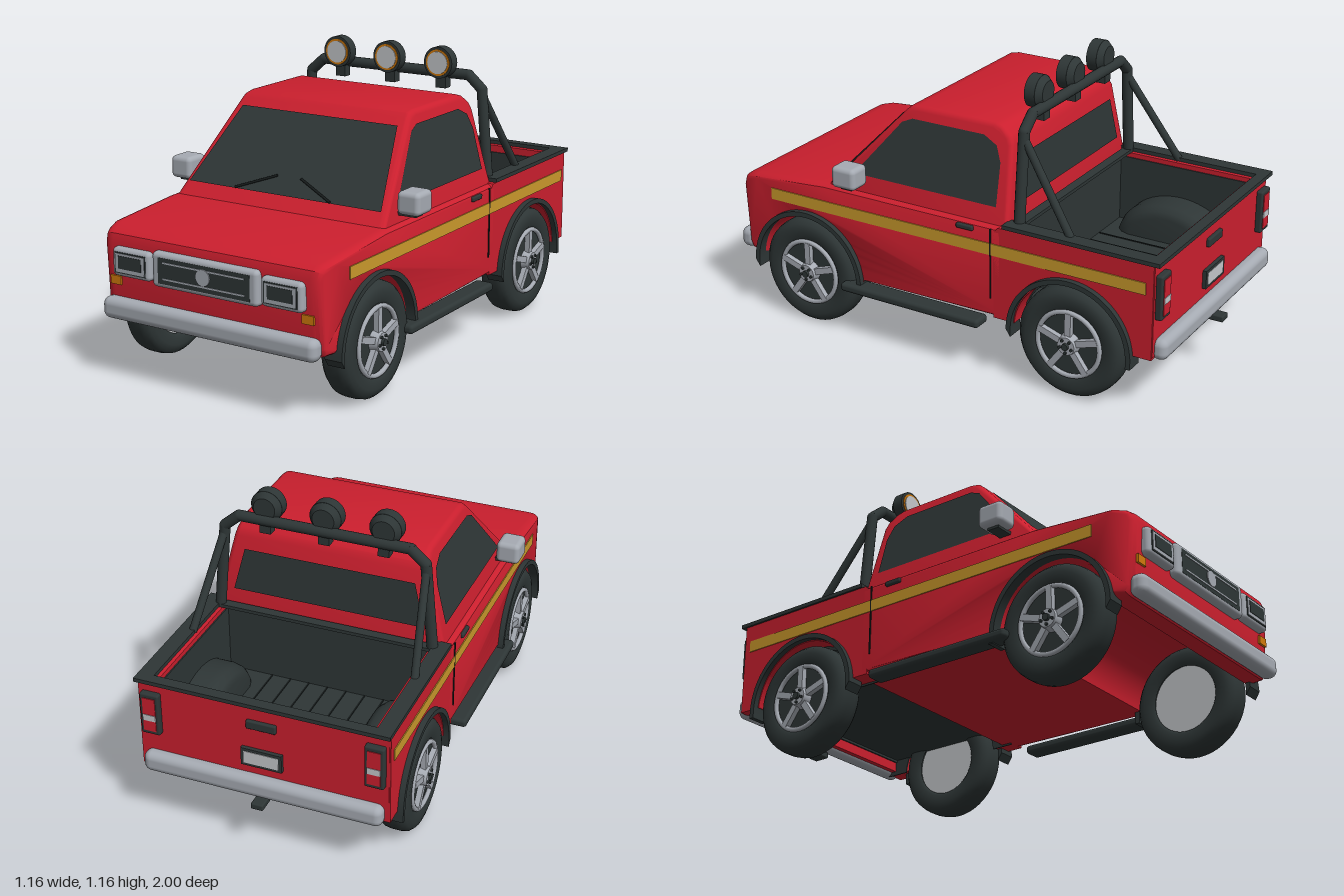
import * as THREE from 'three';
import { toCreasedNormals } from 'three/addons/utils/BufferGeometryUtils.js';
import { RoundedBoxGeometry } from 'three/addons/geometries/RoundedBoxGeometry.js';

const V = (x, y, z) => new THREE.Vector3(x, y, z);
const colour = (name, hex, side = THREE.FrontSide) => {
  const m = new THREE.MeshStandardMaterial({ color: hex, side });
  m.name = name;
  return m;
};

export function createModel() {
  const red = colour('red paint', 0xcc1f2e);
  const dark = colour('dark trim', 0x2e3636, THREE.DoubleSide);
  const black = colour('black line', 0x171c1c);
  const silver = colour('silver', 0xa6abb3);
  const lens = colour('lamp lens', 0xc6c9cc);
  const yellow = colour('yellow stripe', 0xcb9a2c);
  const orange = colour('orange', 0xd27a0c);

  const truck = new THREE.Group();
  truck.name = 'pickupTruck';
  const add = (name, geo, mat, parent = truck) => {
    const m = new THREE.Mesh(geo, mat);
    m.name = name;
    parent.add(m);
    return m;
  };
  const box = (name, mat, x, y, z, w, h, d, r = 0) => {
    const g = r ? new RoundedBoxGeometry(w, h, d, 3, r) : new THREE.BoxGeometry(w, h, d);
    return add(name, g.translate(x, y, z), mat);
  };
  // Straight round bar between two points
  const bar = (name, mat, a, b, r) => {
    const m = add(name, new THREE.CylinderGeometry(r, r, a.distanceTo(b), 14), mat);
    m.position.copy(a).lerp(b, 0.5);
    m.quaternion.setFromUnitVectors(V(0, 1, 0), b.clone().sub(a).normalize());
  };
  // Flat convex panel from its corners
  const panel = (name, mat, pts) => {
    const tris = [];
    for (let i = 1; i < pts.length - 1; i++) tris.push(pts[0], pts[i], pts[i + 1]);
    const g = new THREE.BufferGeometry().setFromPoints(tris);
    g.computeVertexNormals();
    add(name, g, mat);
  };
  // Side profile (z, y) extruded across x, with optional rounded edges
  const slab = (shape, x0, x1, size = 0, thick = 0) =>
    new THREE.ExtrudeGeometry(shape, {
      depth: x1 - x0 - 2 * thick, bevelEnabled: size > 0, bevelSize: size,
      bevelOffset: -size, bevelThickness: thick, bevelSegments: 4, curveSegments: 24,
    }).rotateY(-Math.PI / 2).translate(x1 - thick, 0, 0);
  const warpX = (g, rule) => {
    const p = g.attributes.position;
    for (let i = 0; i < p.count; i++) p.setX(i, p.getX(i) * rule(p.getY(i), p.getZ(i)));
    return toCreasedNormals(g, 0.5);
  };

  const frontZ = 0.62, rearZ = -0.59, axleY = 0.23, arch = 0.242;
  const archCut = (s, z) => {
    s.lineTo(z - arch + 0.001, 0.25);
    s.absarc(z, axleY, arch, Math.PI - 0.083, 0.083, true);
  };

  // Hood and lower cab
  const lower = new THREE.Shape();
  lower.moveTo(-0.3, 0.25);
  archCut(lower, frontZ);
  [[0.93, 0.25], [0.95, 0.28], [0.967, 0.54], [0.955, 0.575], [0.93, 0.592], [0.88, 0.604], [0.54, 0.63], [-0.3, 0.63]]
    .forEach(([z, y]) => lower.lineTo(z, y));
  add('lowerBody', warpX(slab(lower, -0.505, 0.505, 0.02, 0.04),
    (y, z) => 1 - Math.max(0, z - 0.88) * 0.5), red);

  // Cab, leaning inwards towards the roof
  const cabX = y => 0.48 - (y - 0.63) * 0.25;
  const screenZ = y => 0.54 - (y - 0.62) * 0.93;
  const backZ = y => -0.305 + (y - 0.62) * 0.08;
  const cab = new THREE.Shape([[-0.305, 0.6], [0.555, 0.6], [0.21, 0.975], [0.19, 0.992], [0.155, 1.0],
    [-0.19, 1.0], [-0.225, 0.99], [-0.265, 0.96], [-0.279, 0.93]].map(p => new THREE.Vector2(...p)));
  add('cab', warpX(slab(cab, -0.48, 0.48, 0.02, 0.025), y => cabX(y) / 0.48), red);

  // Windows
  panel('windscreen', dark, [[-0.445, 0.68], [0.445, 0.68], [0.362, 0.95], [-0.362, 0.95]]
    .map(([x, y]) => V(x, y, screenZ(y) + 0.007)));
  panel('rearWindow', dark, [[0.4, 0.7], [-0.4, 0.7], [-0.355, 0.88], [0.355, 0.88]]
    .map(([x, y]) => V(x, y, backZ(y) - 0.006)));
  const sideGlass = [[0.41, 0.695], [-0.245, 0.695], [-0.24, 0.86], [-0.215, 0.92], [-0.155, 0.95], [0.17, 0.95], [0.215, 0.93]];

  // Cargo bed
  const side = new THREE.Shape();
  side.moveTo(-0.93, 0.25);
  archCut(side, rearZ);
  [[-0.255, 0.25], [-0.255, 0.61], [-0.275, 0.63], [-0.93, 0.63]].forEach(([z, y]) => side.lineTo(z, y));
  const liner = side.clone();
  box('tailgate', red, 0, 0.445, -0.912, 1.0, 0.37, 0.04);
  box('tailgateLiner', dark, 0, 0.45, -0.889, 0.86, 0.3, 0.008);
  box('bedFrontLiner', dark, 0, 0.465, -0.308, 0.86, 0.32, 0.01);
  box('bedFloor', dark, 0, 0.32, -0.6, 0.87, 0.02, 0.6);
  for (let i = -3; i <= 3; i++) box('floorGroove', black, i * 0.08, 0.331, -0.6, 0.006, 0.004, 0.57);
  box('rearRail', dark, 0, 0.64, -0.932, 1.02, 0.016, 0.045);
  box('frontRail', dark, 0, 0.637, -0.335, 0.9, 0.014, 0.04);

  // Wheel housings in the bed: half-round shells, closed on the inner side
  const housing = [[0.001, 0], [0.17, 0], [0.205, 0.012], [0.228, 0.035], [0.238, 0.07], [0.238, 0.15]]
    .map(p => new THREE.Vector2(...p));

  // Wheel: tyre, rim ring, spokes and hub, facing +x
  const tyre = [[0.138, -0.05], [0.15, -0.06], [0.185, -0.0625], [0.207, -0.056], [0.221, -0.04], [0.225, -0.018],
    [0.225, 0.018], [0.221, 0.04], [0.207, 0.056], [0.185, 0.0625], [0.15, 0.06], [0.138, 0.05]]
    .map(p => new THREE.Vector2(...p));
  const makeWheel = () => {
    const w = new THREE.Group();
    w.name = 'wheel';
    const turn = g => g.rotateZ(-Math.PI / 2);
    add('tyre', turn(new THREE.LatheGeometry(tyre, 48)), dark, w);
    add('rimBarrel', turn(new THREE.CylinderGeometry(0.142, 0.142, 0.084, 40)), [dark, dark, lens], w);
    add('rimRing', new THREE.TorusGeometry(0.132, 0.01, 8, 40).rotateY(Math.PI / 2).translate(0.056, 0, 0), silver, w);
    add('hub', turn(new THREE.CylinderGeometry(0.036, 0.044, 0.036, 24)).translate(0.06, 0, 0), silver, w);
    add('hubCap', turn(new THREE.CylinderGeometry(0.014, 0.014, 0.012, 16)).translate(0.083, 0, 0), dark, w);
    for (let i = 0; i < 5; i++) {
      const a = i * Math.PI * 0.4;
      add('spoke', new THREE.BoxGeometry(0.022, 0.1, 0.026).translate(0.056, 0.08, 0).rotateX(a), silver, w);
      add('wheelNut', turn(new THREE.CylinderGeometry(0.006, 0.006, 0.01, 8))
        .translate(0.08, 0.026, 0).rotateX(a + 0.6), dark, w);
    }
    return w;
  };

  // Wheel arch flare with short straight ends
  const flare = z => {
    const s = new THREE.Shape();
    s.moveTo(z + 0.266, 0.2);
    s.absarc(z, axleY, 0.266, 0, Math.PI, false);
    s.lineTo(z - 0.266, 0.2);
    s.lineTo(z - 0.246, 0.2);
    s.absarc(z, axleY, 0.246, Math.PI, 0, true);
    s.lineTo(z + 0.246, 0.2);
    return s;
  };

  // Everything that appears on both sides
  for (const s of [1, -1]) {
    const span = (a, b) => (s > 0 ? [a, b] : [-b, -a]);
    panel('sideWindow', dark, sideGlass.map(([z, y]) => V(s * (cabX(y) + 0.004), y, z)));
    add('bedSide', slab(side, ...span(0.432, 0.505)), red);
    add('bedSideLiner', slab(liner, ...span(0.426, 0.431)), dark).scale.y = 0.97;
    box('sideRail', dark, s * 0.478, 0.64, -0.622, 0.064, 0.016, 0.655);
    add('wheelHousing', new THREE.LatheGeometry(housing, 28, 0, Math.PI)
      .rotateZ(-Math.PI / 2).rotateX(0), dark);
    const shell = truck.children[truck.children.length - 1];
    // Keep the upper half of the shell and push it outwards from x = 0.29
    const p = shell.geometry.attributes.position;
    for (let i = 0; i < p.count; i++) {
      const x = p.getX(i), r = -p.getY(i), z = p.getZ(i);
      p.setXYZ(i, s * (0.29 + x), 0.31 + Math.abs(r) * 0.75, rearZ + z);
    }
    // The half circle spans +z only from +x, so remap it by angle
    const cols = housing.length;
    for (let i = 0; i < p.count; i++) {
      const a = Math.floor(i / cols) / 28 * Math.PI, h = housing[i % cols];
      p.setXYZ(i, s * (0.29 + h.y), 0.31 + h.x * 0.72 * Math.sin(a), rearZ + h.x * Math.cos(a));
    }
    shell.geometry.computeVertexNormals();

    for (const z of [frontZ, rearZ]) {
      const w = makeWheel();
      w.position.set(s * 0.4575, axleY, z);
      w.rotation.y = s > 0 ? 0 : Math.PI;
      truck.add(w);
      add('archFlare', toCreasedNormals(slab(flare(z), ...span(0.455, 0.528)), 0.5), dark);
    }
    box('sideStripe', yellow, s * 0.506, 0.536, -0.05, 0.006, 0.048, 1.7);
    box('doorSeam', black, s * 0.5055, 0.475, -0.243, 0.008, 0.29, 0.005);
    box('doorHandle', dark, s * 0.505, 0.605, -0.13, 0.022, 0.02, 0.075, 0.006);
    box('sideStep', dark, s * 0.512, 0.222, 0.115, 0.08, 0.036, 0.65, 0.014);
    box('mirror', silver, s * 0.529, 0.71, 0.39, 0.098, 0.09, 0.11, 0.02);
    box('mirrorArm', dark, s * 0.5, 0.662, 0.39, 0.1, 0.014, 0.05);
    bar('wiper', black, V(s * 0.22, 0.685, screenZ(0.685) + 0.014), V(s * 0.055, 0.742, screenZ(0.742) + 0.014), 0.005);

    // Headlamps and indicators
    box('headlampFrame', silver, s * 0.34, 0.477, 0.965, 0.18, 0.113, 0.056, 0.018);
    box('headlampGap', dark, s * 0.34, 0.477, 0.991, 0.145, 0.082, 0.008);
    box('headlampLens', silver, s * 0.34, 0.477, 0.993, 0.135, 0.072, 0.008);
    box('headlampCentre', dark, s * 0.34, 0.48, 0.995, 0.108, 0.05, 0.008);
    box('indicator', orange, s * 0.436, 0.395, 0.948, 0.05, 0.034, 0.035);

    // Tail lamps
    box('tailLampFrame', dark, s * 0.45, 0.5, -0.943, 0.078, 0.18, 0.03, 0.008);
    box('tailLamp', red, s * 0.45, 0.5, -0.957, 0.052, 0.145, 0.008);
    box('reverseLamp', lens, s * 0.45, 0.487, -0.959, 0.052, 0.026, 0.008);

    // Roll bar half with its rear stay
    const foot = V(s * 0.447, 0.63, -0.335), bend = V(s * 0.413, 1.0, -0.335), top = V(s * 0.352, 1.053, -0.335);
    bar('rollBarLeg', dark, foot, bend, 0.022);
    bar('rollBarCorner', dark, bend, top, 0.022);
    bar('rollBarTop', dark, top, V(0, 1.053, -0.335), 0.022);
    for (const j of [bend, top]) add('rollBarJoint', new THREE.SphereGeometry(0.022, 14, 10).translate(j.x, j.y, j.z), dark);
    bar('rollBarStay', dark, V(s * 0.416, 0.97, -0.34), V(s * 0.458, 0.635, -0.565), 0.016);
  }

  // Roof lamps
  for (const x of [-0.243, 0, 0.243]) {
    const disc = (name, mat, r0, r1, len, z) =>
      add(name, new THREE.CylinderGeometry(r0, r1, len, 32).rotateX(Math.PI / 2).translate(x, 1.102, z), mat);
    box('lampMount', dark, x, 1.022, -0.315, 0.046, 0.055, 0.04);
    disc('lampHousing', dark, 0.065, 0.065, 0.045, -0.293);
    disc('lampBack', dark, 0.065, 0.045, 0.025, -0.327);
    disc('lampRing', orange, 0.054, 0.054, 0.006, -0.27);
    disc('lampLens', lens, 0.046, 0.046, 0.006, -0.267);
  }

  // Grille and bumpers
  box('grilleFrame', silver, 0, 0.478, 0.966, 0.48, 0.136, 0.056, 0.018);
  box('grille', dark, 0, 0.478, 0.991, 0.416, 0.1, 0.008);
  for (const y of [0.448, 0.51]) box('grilleBar', silver, 0, y, 0.993, 0.37, 0.006, 0.008);
  add('grilleDisc', new THREE.CylinderGeometry(0.032, 0.032, 0.008, 28).rotateX(Math.PI / 2).translate(0, 0.484, 0.995), silver);
  box('frontBumper', silver, 0, 0.287, 0.965, 0.97, 0.086, 0.07, 0.03);
  box('rearBumper', silver, 0, 0.285, -0.945, 0.97, 0.086, 0.066, 0.03);

  // Tailgate fittings and tow hitch
  box('tailgateHandle', dark, 0, 0.55, -0.936, 0.12, 0.036, 0.02, 0.006);
  box('plateFrame', dark, 0, 0.405, -0.938, 0.165, 0.075, 0.02);
  box('plate', lens, 0, 0.405, -0.946, 0.14, 0.052, 0.008);
  box('towHitch', dark, 0, 0.224, -0.965, 0.05, 0.026, 0.07, 0.006);
  return truck;
}
